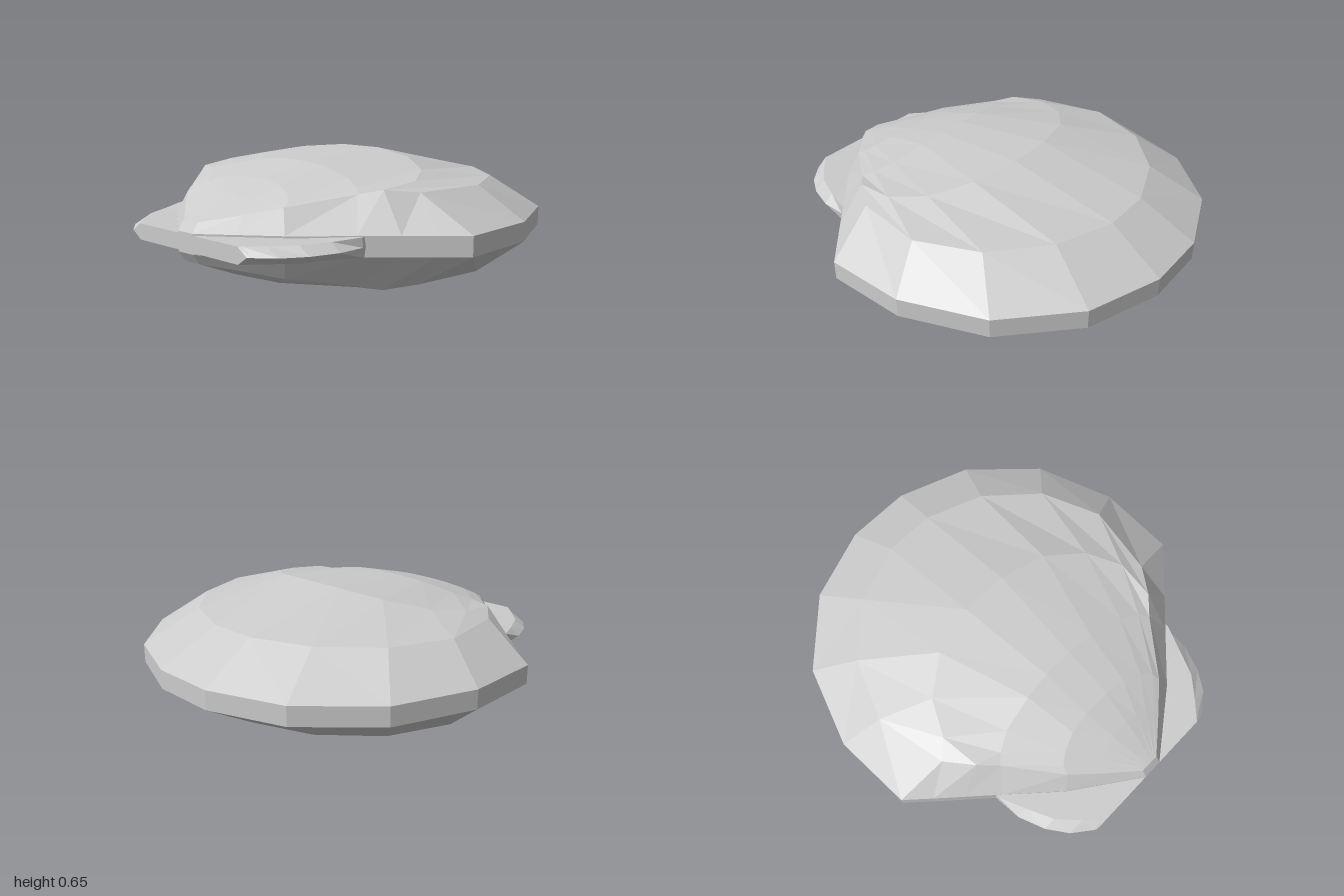
import * as THREE from 'three';

const material = new THREE.MeshStandardMaterial({ color: 0xcccccc, flatShading: true });
const MID = 0.3275, RIM = 0.374;

// Half growth rings from the centre line outwards, [x, y, z]; the outer rim comes first
const rings = [
  [[0.17, RIM, -1], [0.54, RIM, -0.865], [0.84, RIM, -0.57], [0.98, RIM, -0.17], [0.965, RIM, 0.235]],
  [[0.13, 0.535, -0.72], [0.42, 0.535, -0.61], [0.66, 0.535, -0.39], [0.78, 0.535, -0.09], [0.71, 0.535, 0.27]],
  [[0.12, 0.655, -0.16], [0.36, 0.632, -0.1], [0.54, 0.595, 0.03], [0.63, 0.57, 0.2], [0.61, 0.552, 0.4]],
  [[0.08, 0.627, 0.34], [0.22, 0.616, 0.355], [0.4, 0.58, 0.39], [0.49, 0.553, 0.44], [0.53, 0.533, 0.48]],
  [[0.07, 0.566, 0.6], [0.18, 0.556, 0.615], [0.27, 0.533, 0.65], [0.32, 0.508, 0.69], [0.33, 0.485, 0.73]],
  [[0.05, 0.51, 0.76], [0.11, 0.5, 0.77], [0.16, 0.485, 0.79], [0.19, 0.468, 0.815], [0.2, 0.452, 0.845]],
  [[0.01, 0.42, 0.97], [0.02, 0.42, 0.97], [0.03, 0.42, 0.97], [0.04, 0.42, 0.97], [0.05, 0.42, 0.97]],
];
// Where each ring meets the front rim, running from the side to the hinge
const frontRim = [
  [0.965, 0.235], [0.85, 0.34], [0.74, 0.44], [0.6, 0.566], [0.375, 0.77], [0.2, 0.894], [0.05, 1],
].map(([x, z]) => [x, RIM, z]);

const mirrorX = ([x, y, z]) => [-x, y, z];
const mirrorY = ([x, y, z]) => [x, 2 * MID - y, z];
const bothSides = (half) => [...half.map(mirrorX).reverse(), ...half];

function meshFromQuads(name, quads) {
  const pos = [];
  for (const [a, b, c, d] of quads) pos.push(...a, ...b, ...c, ...a, ...c, ...d);
  const geometry = new THREE.BufferGeometry();
  geometry.setAttribute('position', new THREE.Float32BufferAttribute(pos, 3));
  geometry.computeVertexNormals();
  const mesh = new THREE.Mesh(geometry, material);
  mesh.name = name;
  return mesh;
}

// Upper valve: rows run from the right side, round the back, to the left side
function valveQuads() {
  const rows = rings.map((ring, i) => bothSides([...ring, frontRim[i]]));
  const quads = [];
  for (let i = 0; i < rows.length - 1; i++) {
    for (let j = 0; j < rows[i].length - 1; j++) {
      quads.push([rows[i][j], rows[i + 1][j], rows[i + 1][j + 1], rows[i][j + 1]]);
    }
  }
  // Blunt tip at the hinge
  const tip = rows[rows.length - 1], n = tip.length;
  quads.push([tip[0], tip[n - 1], tip[n - 2], tip[1]]);
  return quads;
}

// Upright band between the two valves
function rimQuads() {
  const loop = bothSides([...rings[0], ...frontRim.slice(1)]);
  return loop.map((a, i) => {
    const b = loop[(i + 1) % loop.length];
    return [a, b, mirrorY(b), mirrorY(a)];
  });
}

// Hinge ears: six-sided sections along z, [z, edge half width, flat half width]
function earQuads() {
  const sections = [
    [0.5, 0.625, 0.62], [0.56, 0.63, 0.625], [0.69, 0.62, 0.57], [0.82, 0.57, 0.51],
    [0.92, 0.5, 0.42], [0.99, 0.41, 0.35], [1, 0.395, 0.34],
  ].map(([z, w, f], i) => {
    const h = i < 2 ? 0.044 : 0.038;
    return [[w, MID, z], [f, MID + h, z], [-f, MID + h, z], [-w, MID, z], [-f, MID - h, z], [f, MID - h, z]];
  });
  const quads = [];
  for (let i = 0; i < sections.length - 1; i++) {
    const s = sections[i], t = sections[i + 1];
    for (let j = 0; j < 6; j++) {
      const k = (j + 1) % 6;
      quads.push([s[j], s[k], t[k], t[j]]);
    }
  }
  // End faces
  const front = sections[sections.length - 1], back = sections[0];
  for (const [a, b, c, d] of [[0, 1, 2, 3], [0, 3, 4, 5]]) {
    quads.push([front[a], front[b], front[c], front[d]]);
    quads.push([back[d], back[c], back[b], back[a]]);
  }
  return quads;
}

export function createModel() {
  const group = new THREE.Group();
  group.name = 'scallopShell';
  const upper = valveQuads();
  const lower = upper.map((q) => q.map(mirrorY).reverse());
  group.add(
    meshFromQuads('upperValve', upper),
    meshFromQuads('lowerValve', lower),
    meshFromQuads('rimBand', rimQuads()),
    meshFromQuads('hingeEars', earQuads()),
  );
  return group;
}
